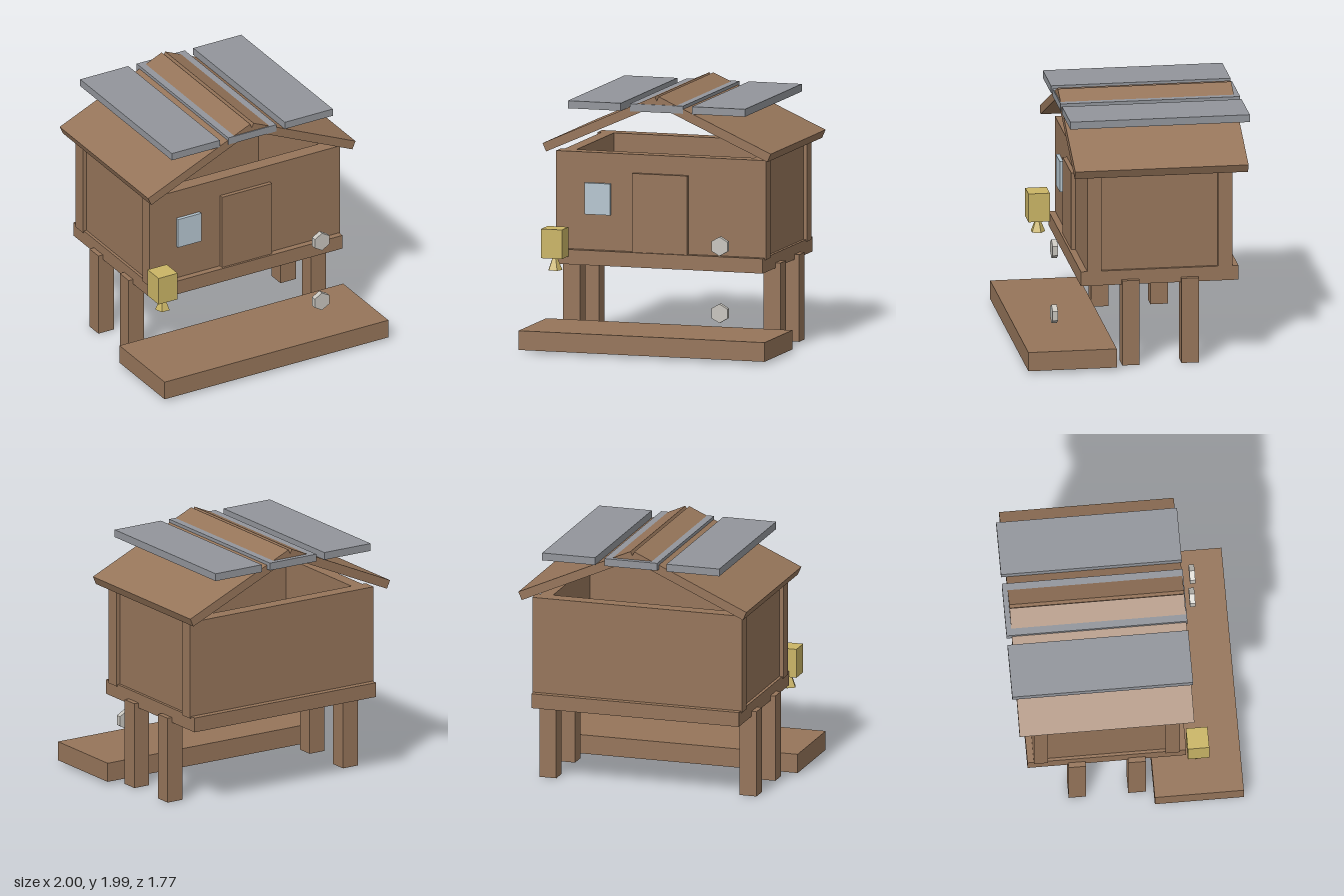
import * as THREE from 'three';

const mat = (name, color) => {
  const m = new THREE.MeshStandardMaterial({ color });
  m.name = name;
  return m;
};

export function createModel() {
  const model = new THREE.Group();
  model.name = 'stiltHut';
  const wood = mat('wood', 0x96755a);
  const slate = mat('slate grey', 0x92959b);
  const glass = mat('window blue', 0xb6c6d0);
  const brass = mat('lantern yellow', 0xcab566);
  const steel = mat('bolt grey', 0xc8c5be);

  const add = (name, geometry, material, x, y, z) => {
    const mesh = new THREE.Mesh(geometry, material);
    mesh.name = name;
    mesh.position.set(x, y, z);
    model.add(mesh);
    return mesh;
  };
  // Box given by its limits on each axis
  const box = (name, material, [x0, x1], [y0, y1], [z0, z1]) =>
    add(name, new THREE.BoxGeometry(x1 - x0, y1 - y0, z1 - z0), material,
      (x0 + x1) / 2, (y0 + y1) / 2, (z0 + z1) / 2);

  // Step plank and floor
  box('stepPlank', wood, [-1, 1], [0.02, 0.17], [0.193, 0.883]);
  box('floor', wood, [-0.843, 0.843], [0.64, 0.755], [-0.78, 0.45]);

  // Open-topped walls
  box('frontWall', wood, [-0.852, 0.852], [0.74, 1.515], [0.29, 0.4]);
  box('backWall', wood, [-0.852, 0.852], [0.74, 1.515], [-0.73, -0.62]);

  for (const s of [-1, 1]) {
    const span = (a, b) => (s > 0 ? [a, b] : [-b, -a]);
    box('sideWall', wood, span(0.72, 0.82), [0.74, 1.515], [-0.63, 0.3]);

    // Stilts
    box('frontLeg', wood, span(0.745, 0.883), [0, 0.68], [-0.003, 0.133]);
    box('backLeg', wood, span(0.745, 0.883), [0, 0.68], [-0.465, -0.33]);

    // Sloping roof slab
    const roof = add('roofSlab', new THREE.BoxGeometry(0.998, 0.07, 1.353), wood,
      s * 0.457, 1.755, -0.17);
    roof.rotation.z = -s * 0.418;
  }

  // Flat roof panels
  for (const x of [-0.505, 0, 0.505]) {
    box('roofPanel', slate, [x - 0.215, x + 0.215], [1.867, 1.926], [-0.887, 0.514]);
  }

  // Door and window
  box('door', wood, [-0.223, 0.223], [0.755, 1.37], [0.39, 0.433]);
  box('window', glass, [-0.613, -0.405], [1.033, 1.278], [0.39, 0.428]);

  // Hanging lantern with a five-sided cone below
  box('lantern', brass, [-0.903, -0.732], [0.704, 0.932], [0.457, 0.624]);
  const cone = add('lanternCone', new THREE.ConeGeometry(0.059, 0.145, 5).toNonIndexed(), brass,
    -0.817, 0.6775, 0.54);
  cone.geometry.computeVertexNormals();
  cone.rotation.y = Math.PI;

  // Hexagonal bolts
  for (const y of [0.864, 0.341]) {
    const hex = new THREE.CylinderGeometry(0.075, 0.075, 0.042, 6).toNonIndexed();
    hex.computeVertexNormals();
    add('hexBolt', hex, steel, 0.552, y, 0.616).rotation.x = Math.PI / 2;
  }

  return model;
}
